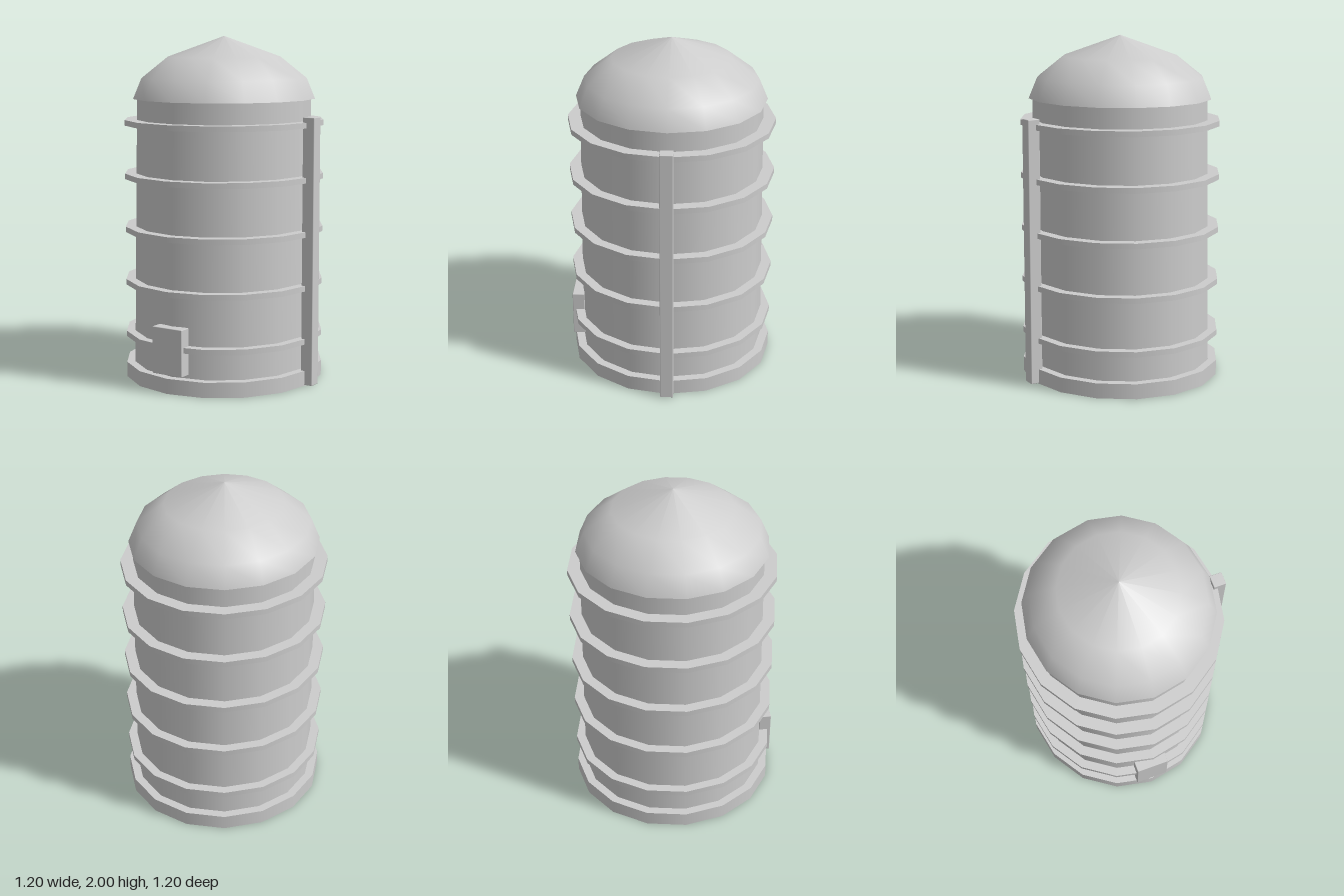
import * as THREE from 'three';
import { RoundedBoxGeometry } from 'three/addons/geometries/RoundedBoxGeometry.js';

const SIDES = 16;

export function createModel() {
  const model = new THREE.Group();
  model.name = 'silo';
  const grey = new THREE.MeshStandardMaterial({ color: 0xcccccc });
  grey.name = 'pale grey';

  const add = (parent, name, geometry, x = 0, y = 0, z = 0) => {
    const mesh = new THREE.Mesh(geometry, grey);
    mesh.name = name;
    mesh.position.set(x, y, z);
    parent.add(mesh);
    return mesh;
  };

  // Round parts share one axis and are slightly narrower across x
  const tower = new THREE.Group();
  tower.name = 'tower';
  tower.position.x = -0.022;
  tower.scale.x = 0.967;
  model.add(tower);

  const drum = (name, rTop, rBottom, y0, y1) =>
    add(tower, name, new THREE.CylinderGeometry(rTop, rBottom, y1 - y0, SIDES), 0, (y0 + y1) / 2);

  drum('base', 0.6, 0.6, 0, 0.088);
  drum('wall', 0.525, 0.55, 0.088, 1.64);

  // Evenly spaced hoops
  for (let i = 0; i < 5; i++) {
    const y = 0.244 + i * 0.311;
    drum('hoop' + (i + 1), 0.6, 0.6, y, y + 0.032);
  }

  // Domed roof with a flat underside
  const profile = [[0.549, 1.64], [0.498, 1.76], [0.343, 1.88], [0, 2]]
    .map(([r, y]) => new THREE.Vector2(r, y));
  add(tower, 'roof', new THREE.LatheGeometry(profile, SIDES));
  const underside = new THREE.CircleGeometry(0.549, SIDES);
  underside.rotateX(Math.PI / 2);
  add(tower, 'roofUnderside', underside, 0, 1.64);

  // Upright chute on the side and hatch at the front
  add(model, 'chute', new RoundedBoxGeometry(0.073, 1.546, 0.075, 1, 0.004), 0.5635, 0.777, 0);
  add(model, 'hatch', new RoundedBoxGeometry(0.2, 0.272, 0.072, 1, 0.004), -0.02, 0.244, 0.564);

  return model;
}
